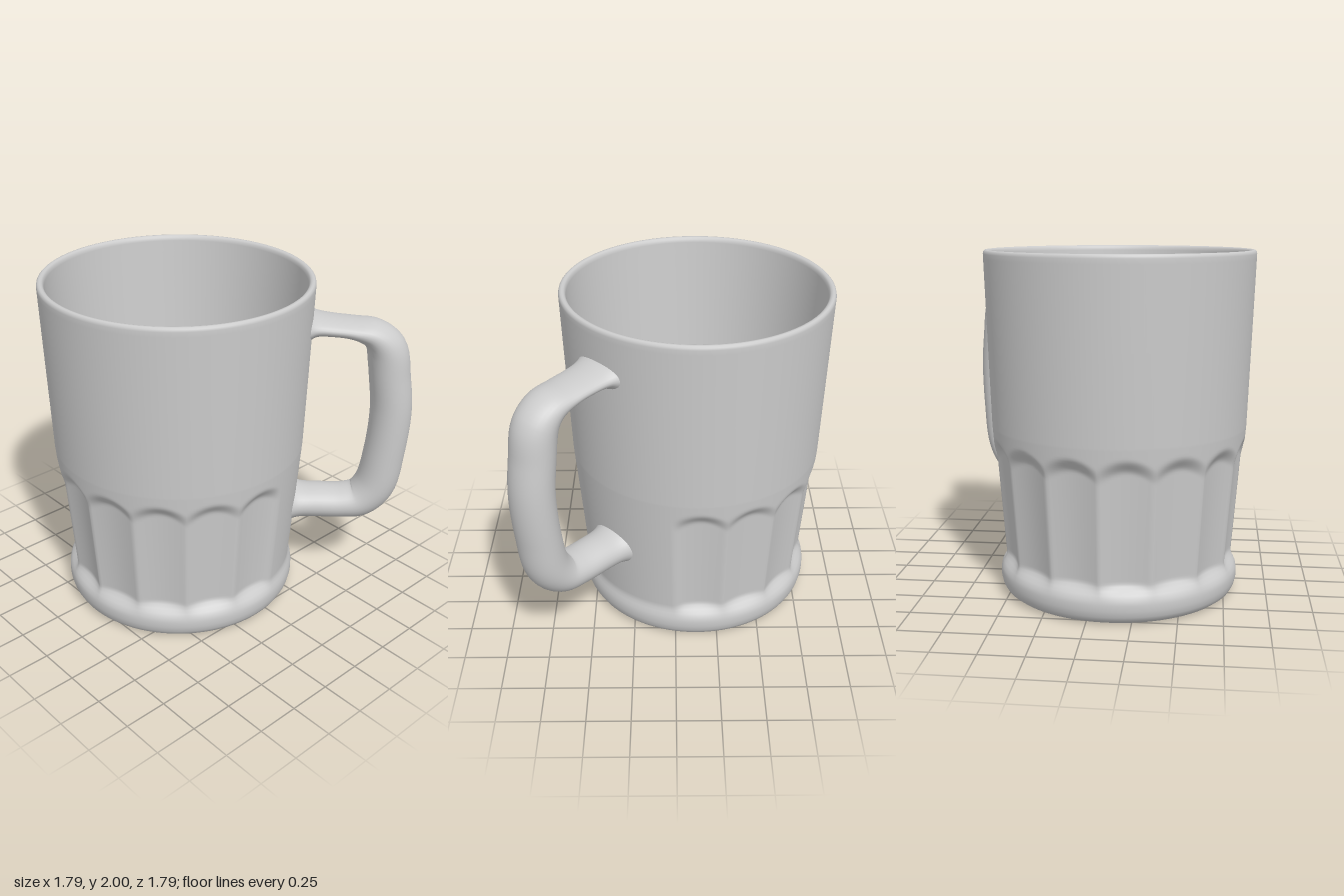
import * as THREE from 'three';
import { mergeVertices } from 'three/addons/utils/BufferGeometryUtils.js';

const material = new THREE.MeshStandardMaterial({ color: 0xcccccc });
const HANDLE_ANGLE = Math.PI / 4;
const { smoothstep, lerp, clamp } = THREE.MathUtils;

// Closed profile of the mug: underside, foot, outer wall, rim, inner wall, floor
function mugProfile() {
  const p = [];
  const add = (...pairs) => pairs.forEach(([r, y]) => p.push(new THREE.Vector2(r, y)));
  add([0, 0.03], [0.3, 0.03], [0.52, 0.03], [0.55, 0.025], [0.58, 0.006], [0.6, 0], [0.635, 0]);
  add([0.662, 0.007], [0.684, 0.024], [0.698, 0.05], [0.706, 0.085], [0.706, 0.12], [0.702, 0.145]);
  add([0.694, 0.17], [0.687, 0.19], [0.685, 0.21]);
  for (let i = 1; i <= 56; i++) { // fine rows so the flutes can be pressed in
    const y = lerp(0.21, 1, i / 56);
    add([lerp(0.685, 0.745, i / 56), y]);
  }
  add([0.762, 1.5], [0.777, 1.95], [0.778, 1.978], [0.775, 1.991], [0.767, 1.999], [0.757, 2]);
  add([0.747, 1.997], [0.739, 1.988], [0.735, 1.97], [0.733, 1.9], [0.68, 1.2], [0.622, 0.4]);
  add([0.612, 0.31], [0.597, 0.255], [0.575, 0.222], [0.545, 0.205], [0.5, 0.2], [0.25, 0.2], [0, 0.2]);
  return p;
}

// Depth of the twelve hollow flutes, which skip the plain panel by the handle
function fluteDepth(angle, y) {
  const gap = 0.593, count = 12, turn = Math.PI * 2;
  const a = (((angle - HANDLE_ANGLE) % turn) + turn) % turn;
  const s = ((a - gap) / (turn - 2 * gap)) * count;
  if (s <= 0 || s >= count) return 0;
  const t = (s - Math.floor(s)) * 2 - 1;
  const top = 0.94 - 0.06 * t * t;
  const edge = smoothstep(Math.min(s, count - s), 0, 0.2);
  const along = smoothstep(y, 0.15, 0.23) * (1 - smoothstep(y, top - 0.09, top));
  return (0.01 * edge + 0.033 * (1 - t * t)) * along;
}

function mugBody() {
  let geo = new THREE.LatheGeometry(mugProfile(), 288, HANDLE_ANGLE);
  const pos = geo.attributes.position;
  for (let i = 0; i < pos.count; i++) {
    const x = pos.getX(i), y = pos.getY(i), z = pos.getZ(i), r = Math.hypot(x, z);
    if (r < 0.675) continue; // leave the inside alone
    const k = 1 - fluteDepth(Math.atan2(x, z), y) / r;
    pos.setXYZ(i, x * k, y, z * k);
  }
  geo.deleteAttribute('uv');
  geo.deleteAttribute('normal');
  geo = mergeVertices(geo, 1e-5);
  geo.computeVertexNormals();
  return new THREE.Mesh(geo, material);
}

// Handle swept along stations of (distance from axis, height, half thickness)
function mugHandle() {
  const path = new THREE.CatmullRomCurve3([
    [0.74, 1.732, 0.095], [0.79, 1.732, 0.062], [0.87, 1.725, 0.053], [1.0, 1.71, 0.056],
    [1.12, 1.675, 0.085], [1.195, 1.59, 0.115], [1.232, 1.4, 0.12], [1.254, 1.2, 0.122],
    [1.238, 0.92, 0.122], [1.195, 0.69, 0.125], [1.11, 0.59, 0.115], [1.0, 0.567, 0.102],
    [0.85, 0.565, 0.1], [0.74, 0.566, 0.102], [0.66, 0.568, 0.13],
  ].map((c) => new THREE.Vector3(...c)));
  const rings = 90, sides = 32, verts = [], index = [];
  for (let i = 0; i <= rings; i++) {
    const c = path.getPoint(i / rings), d = path.getTangent(i / rings);
    const len = Math.hypot(d.x, d.y), nx = -d.y / len, ny = d.x / len;
    // widen where the arms meet the wall
    const root = c.y > 1.1 ? 0.75 : 0.68;
    const width = 0.133 + 0.035 * clamp(Math.exp(-(c.x - root) / 0.05), 0, 1);
    for (let j = 0; j < sides; j++) {
      const a = (j / sides) * Math.PI * 2, n = Math.cos(a) * c.z;
      verts.push(c.x + nx * n, c.y + ny * n, Math.sin(a) * width);
      if (i === rings) continue;
      const p = i * sides + j, q = i * sides + ((j + 1) % sides);
      index.push(p, q, p + sides, q, q + sides, p + sides);
    }
  }
  const geo = new THREE.BufferGeometry();
  geo.setAttribute('position', new THREE.Float32BufferAttribute(verts, 3));
  geo.setIndex(index);
  geo.computeVertexNormals();
  const mesh = new THREE.Mesh(geo, material);
  mesh.rotation.y = -HANDLE_ANGLE;
  return mesh;
}

export function createModel() {
  const group = new THREE.Group();
  group.name = 'mug';
  const body = mugBody();
  body.name = 'body';
  const handle = mugHandle();
  handle.name = 'handle';
  for (const part of [body, handle]) {
    part.position.set(-0.118, 0, -0.126);
    group.add(part);
  }
  return group;
}
